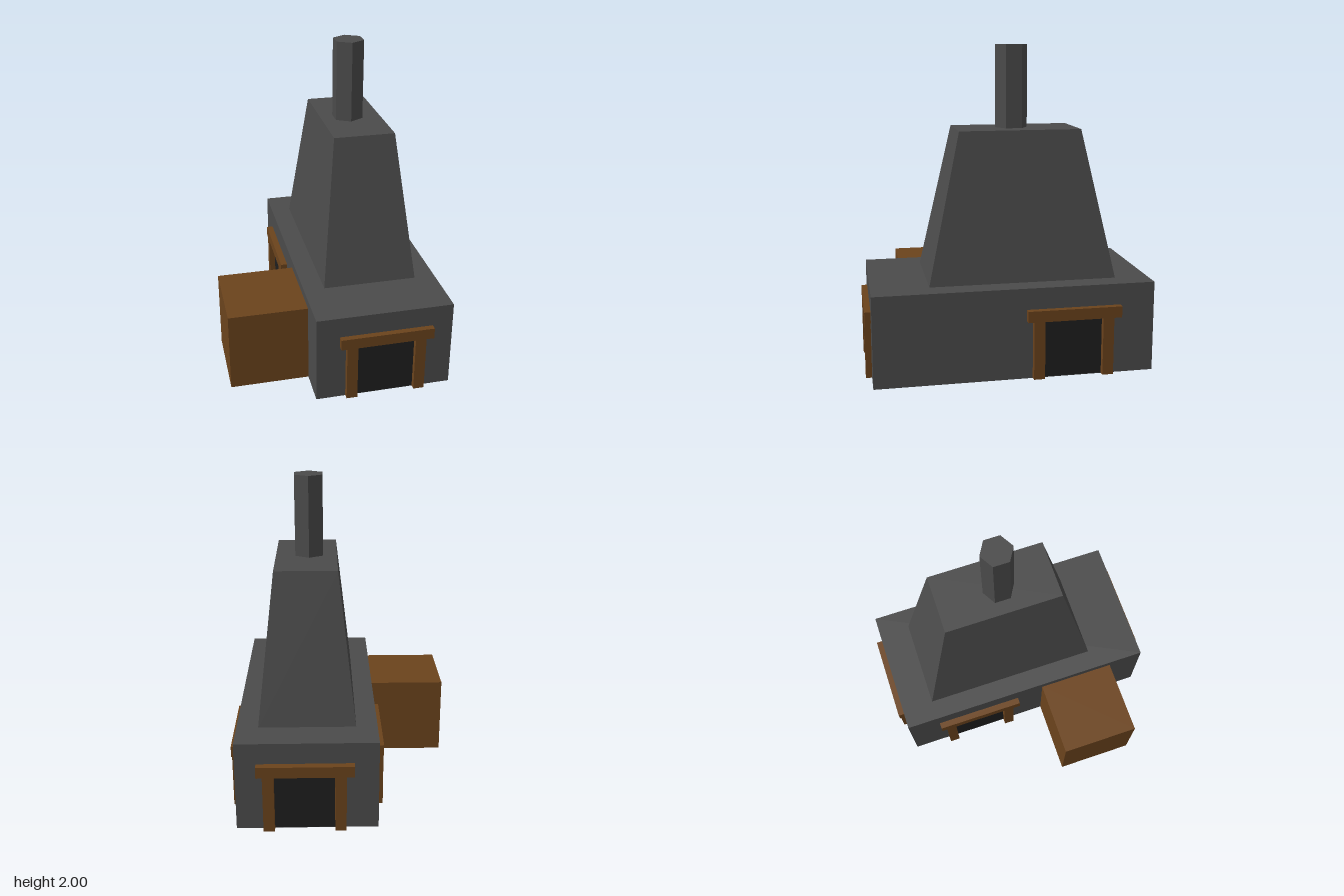
import * as THREE from 'three';

const paint = (color) => new THREE.MeshStandardMaterial({ color, flatShading: true });
const stone = paint(0x4b4b4b);
const wood = paint(0x6b431c);
const soot = paint(0x1f1f1f);

// Box given by its minimum and maximum corners
function block(name, material, [x0, y0, z0], [x1, y1, z1]) {
  const geometry = new THREE.BoxGeometry(x1 - x0, y1 - y0, z1 - z0);
  geometry.translate((x0 + x1) / 2, (y0 + y1) / 2, (z0 + z1) / 2);
  const mesh = new THREE.Mesh(geometry, material);
  mesh.name = name;
  return mesh;
}

// Framed opening whose back lies on the wall; it faces +z before turning
function createOpening(name, x, z, turn, depth) {
  const opening = new THREE.Group();
  opening.name = name;
  opening.add(
    block('lintel', wood, [-0.292, 0.365, -0.01], [0.292, 0.435, depth]),
    block('firePanel', soot, [-0.19, 0.005, -0.01], [0.18, 0.37, 0.004]),
  );
  for (const side of [-1, 1]) {
    const cx = -0.006 + side * 0.215;
    opening.add(block('post', wood, [cx - 0.034, 0.004, -0.01], [cx + 0.034, 0.367, depth]));
  }
  opening.position.set(x, 0, z);
  opening.rotation.y = turn;
  return opening;
}

// Tapered hood: a box whose upper corners are drawn inwards
function createHood() {
  const hood = block('hood', stone, [-0.075, 0.565, -0.65], [0.52, 1.49, 0.513]);
  const p = hood.geometry.attributes.position;
  for (let i = 0; i < p.count; i++) {
    if (p.getY(i) < 1) continue;
    p.setX(i, p.getX(i) < 0.2 ? 0.03 : 0.415);
    p.setZ(i, p.getZ(i) < 0 ? -0.445 : 0.31);
  }
  hood.geometry.computeVertexNormals();
  return hood;
}

export function createModel() {
  const model = new THREE.Group();
  model.name = 'furnace';

  // Stone body, hood and six-sided flue
  model.add(block('base', stone, [-0.205, 0, -0.86], [0.652, 0.567, 0.865]));
  model.add(createHood());
  const flue = new THREE.Mesh(new THREE.CylinderGeometry(0.101, 0.101, 0.52, 6), stone);
  flue.name = 'flue';
  flue.position.set(0.205, 1.74, -0.049);
  model.add(flue);

  // Wooden bin against the right wall
  model.add(block('woodBin', wood, [-0.7, 0, 0.122], [-0.2, 0.512, 0.634]));

  // One opening on each wall
  model.add(
    createOpening('frontOpening', 0.233, 0.865, 0, 0.037),
    createOpening('leftOpening', 0.652, -0.352, Math.PI / 2, 0.04),
    createOpening('backOpening', 0.233, -0.86, Math.PI, 0.045),
    createOpening('rightOpening', -0.205, -0.352, -Math.PI / 2, 0.042),
  );
  return model;
}
